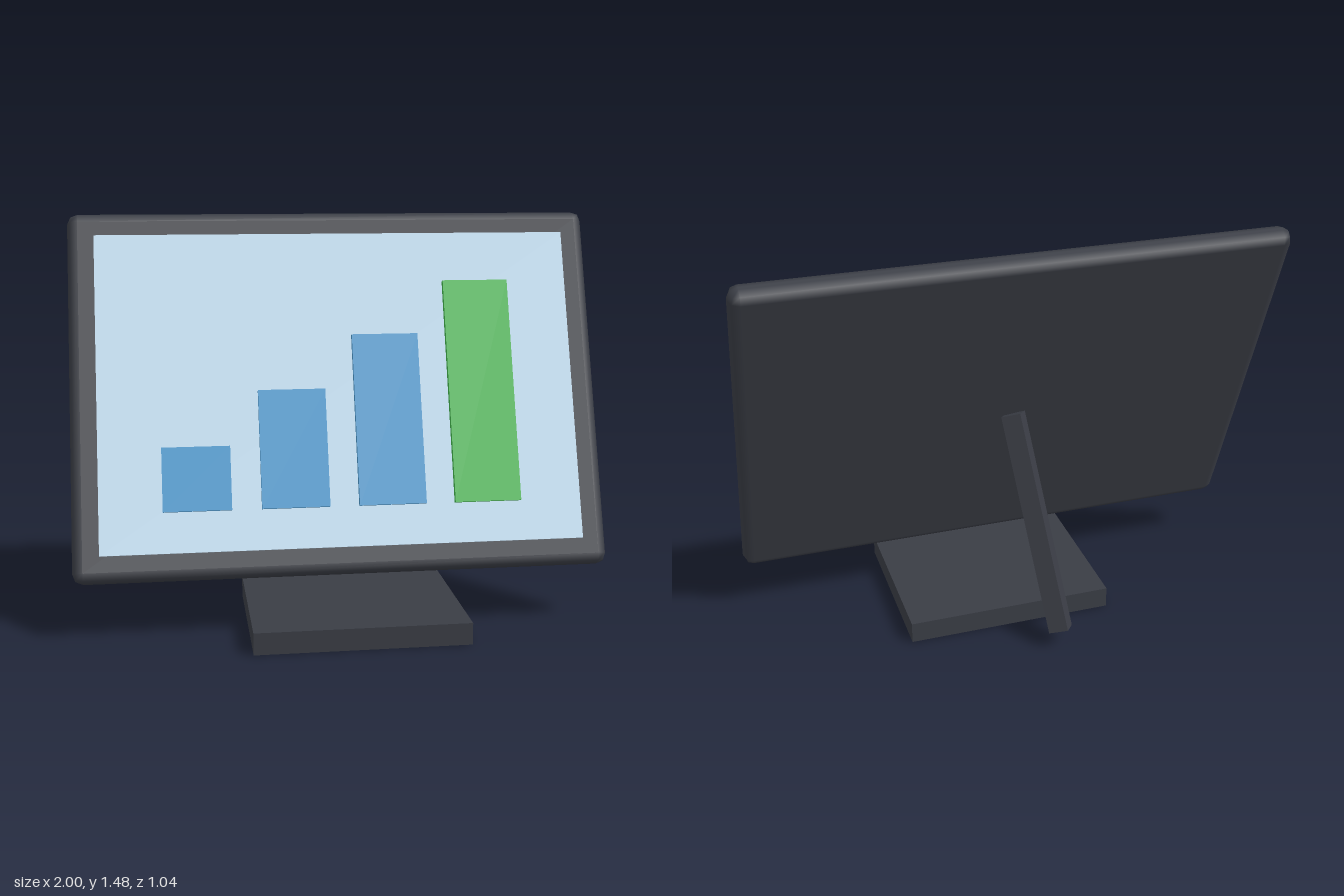
import * as THREE from 'three';
import { RoundedBoxGeometry } from 'three/addons/geometries/RoundedBoxGeometry.js';

const YAW = -THREE.MathUtils.degToRad(15);
const TILT = -THREE.MathUtils.degToRad(20);

function addMesh(parent, name, geometry, material, x = 0, y = 0, z = 0) {
  const mesh = new THREE.Mesh(geometry, material);
  mesh.name = name;
  mesh.position.set(x, y, z);
  parent.add(mesh);
  return mesh;
}

export function createModel() {
  const model = new THREE.Group();
  model.name = 'monitor';

  const dark = new THREE.MeshStandardMaterial({ color: 0x3a3d45 });
  const pale = new THREE.MeshStandardMaterial({ color: 0xc4e0f4 });
  const blue = new THREE.MeshStandardMaterial({ color: 0x4f9ed3 });
  const green = new THREE.MeshStandardMaterial({ color: 0x44b94f });

  // Display: turned to one side, then leaned back
  const display = new THREE.Group();
  display.name = 'display';
  display.position.set(0, 0.845, -0.0275);
  display.rotation.set(TILT, YAW, 0, 'YXZ');
  model.add(display);

  addMesh(display, 'casing', new RoundedBoxGeometry(1.95, 1.355, 0.087, 1, 0.038), dark);
  addMesh(display, 'screen', new THREE.BoxGeometry(1.755, 1.165, 0.03), pale, 0, 0, 0.045);

  // Bar chart standing proud of the screen
  const bottom = -0.437;
  for (let i = 0; i < 4; i++) {
    const height = 0.23 + 0.2 * i;
    addMesh(display, `chartBar${i + 1}`, new THREE.BoxGeometry(0.245, height, 0.04),
      i === 3 ? green : blue, -0.53 + 0.352 * i, bottom + height / 2, 0.06);
  }

  // Four-sided strut behind the display
  const low = new THREE.Vector3(0, 0.0675, -0.4125);
  const high = new THREE.Vector3(0, 0.82, -0.085);
  const along = high.clone().sub(low);
  const strut = addMesh(model, 'strut',
    new THREE.CylinderGeometry(0.051, 0.051, along.length(), 4).toNonIndexed(), dark);
  strut.geometry.computeVertexNormals();
  strut.position.copy(low).add(high).multiplyScalar(0.5);
  strut.quaternion.setFromUnitVectors(new THREE.Vector3(0, 1, 0), along.normalize());

  // Foot plate
  const base = addMesh(model, 'base', new THREE.BoxGeometry(0.775, 0.08, 0.645), dark, 0, 0.04, 0.105);
  base.rotation.y = YAW;

  return model;
}
